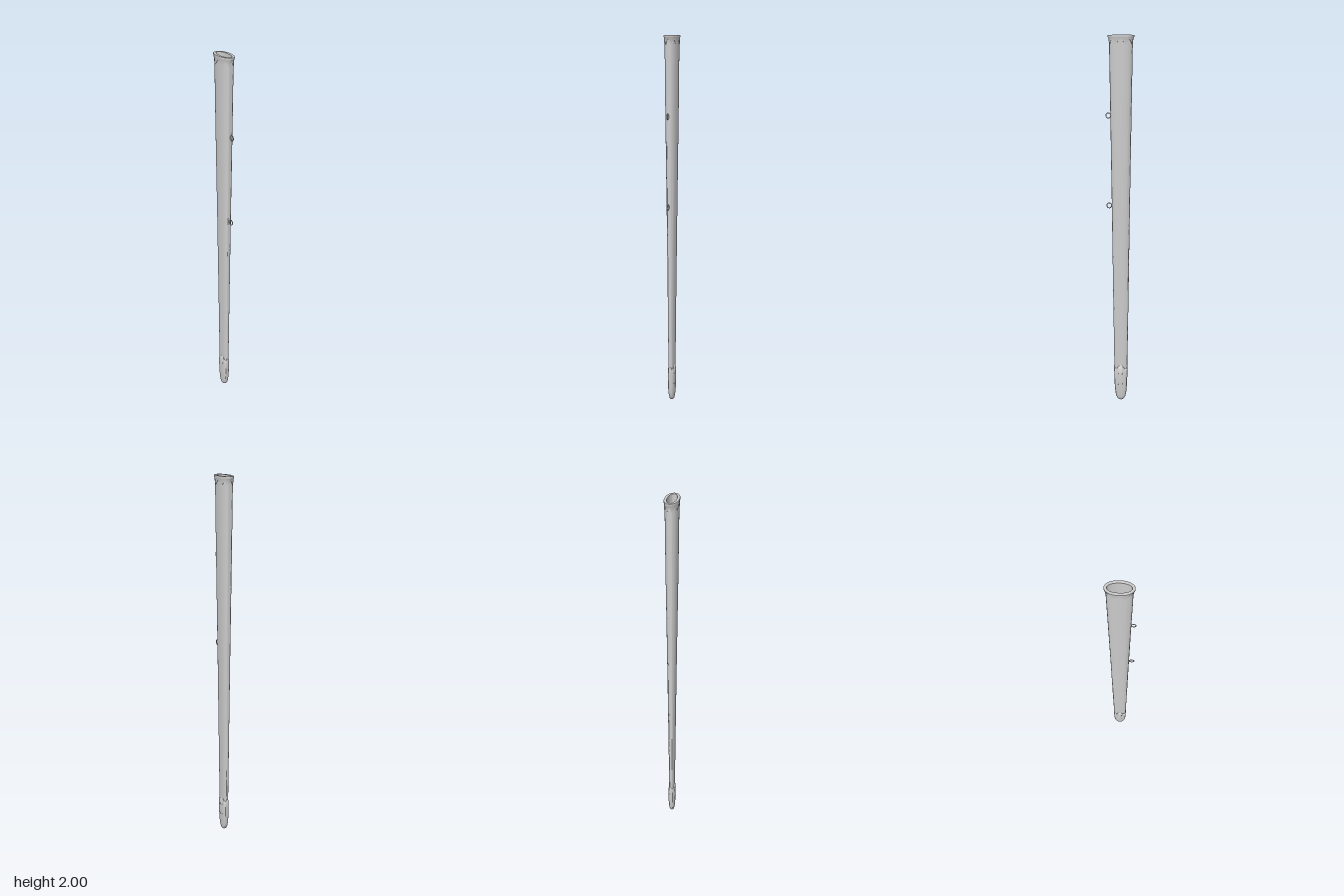
import * as THREE from 'three';
import { toCreasedNormals } from 'three/addons/utils/BufferGeometryUtils.js';

const SIDES = 48;
const CX = -0.006; // the sheath sits slightly off centre, making room for the rings

// Skin through flattened oval sections [y, halfWidth, halfDepth, squareness, wave]
function loft(sections, wave = () => 0) {
  const pos = [], index = [];
  const bend = (v, n) => Math.sign(v) * Math.abs(v) ** (2 / n);
  sections.forEach(([y, hx, hz, n = 2.3, w = 0], i) => {
    for (let j = 0; j < SIDES; j++) {
      const t = (j / SIDES) * Math.PI * 2;
      pos.push(CX + hx * bend(Math.cos(t), n), y + w * wave(t), hz * bend(Math.sin(t), n));
      if (i === 0) continue;
      const k = (j + 1) % SIDES, lo = (i - 1) * SIDES, hi = i * SIDES;
      index.push(lo + j, hi + j, lo + k, lo + k, hi + j, hi + k);
    }
  });
  const geo = new THREE.BufferGeometry();
  geo.setAttribute('position', new THREE.Float32BufferAttribute(pos, 3));
  geo.setIndex(index);
  return toCreasedNormals(geo, 0.7);
}

export function createModel() {
  const group = new THREE.Group();
  const material = new THREE.MeshStandardMaterial({ color: 0xcccccc, side: THREE.DoubleSide });
  const add = (name, geometry) => {
    const mesh = new THREE.Mesh(geometry, material);
    mesh.name = name;
    group.add(mesh);
    return mesh;
  };

  // Long tapering sheath
  add('sheath', loft([
    [0.1, 0.033, 0.013, 2.6],
    [0.2, 0.036, 0.014, 2.6],
    [0.6, 0.042, 0.0175, 2.5],
    [1.1, 0.0485, 0.023, 2.4],
    [1.6, 0.056, 0.0295, 2.3],
    [1.985, 0.062, 0.033, 2.2],
  ]));

  // Hollow inside with its floor
  add('lining', loft([
    [2.0, 0.056, 0.023, 2.1],
    [1.6, 0.052, 0.022, 2.3],
    [1.1, 0.046, 0.019, 2.8],
    [0.6, 0.04, 0.0155, 3.5],
    [0.59, 0.036, 0.012, 3.5],
    [0.59, 0, 0],
  ]));

  // Flared mouth collar with a scalloped lower edge
  add('throat', loft([
    [1.965, 0.0615, 0.0325, 2.2, 0.012],
    [1.965, 0.0635, 0.0345, 2.2, 0.012],
    [1.986, 0.0655, 0.0355, 2.2],
    [1.99, 0.069, 0.037, 2.1],
    [1.997, 0.07, 0.0375, 2.1],
    [2.0, 0.069, 0.0365, 2.1],
    [2.0, 0.056, 0.023, 2.1],
  ], t => Math.cos(8 * t)));

  // Rounded end cap with a wavy upper edge
  add('chape', loft([
    [0.004, 0, 0],
    [0.004, 0.01, 0.008, 2.4],
    [0.01, 0.018, 0.0125, 2.4],
    [0.025, 0.026, 0.0145, 2.5],
    [0.05, 0.031, 0.0165, 2.6],
    [0.09, 0.034, 0.0185, 2.7],
    [0.15, 0.0365, 0.019, 2.7],
    [0.192, 0.0375, 0.0165, 2.6, 0.01],
    [0.196, 0.0355, 0.0135, 2.6, 0.01],
  ], t => Math.cos(4 * t)));

  // Small studs on both faces of the end cap
  for (const side of [1, -1]) {
    for (const [x, y] of [[-0.011, 0.16], [0.011, 0.16], [-0.011, 0.1], [0.011, 0.1]]) {
      const stud = add('stud', new THREE.SphereGeometry(0.003, 10, 6));
      stud.scale.set(1, 1.6, 0.5);
      stud.position.set(CX + x, y, side * 0.0185);
    }
  }

  // Carrying rings on the left edge
  for (const [x, y] of [[0.0605, 1.586], [0.0565, 1.106]]) {
    const ring = add('carryingRing', new THREE.TorusGeometry(0.0125, 0.0022, 10, 28));
    ring.position.set(x, y, 0);
    ring.scale.y = 1.1;
    const lug = add('ringLug', new THREE.SphereGeometry(0.005, 12, 8));
    lug.scale.set(0.9, 2, 0.7);
    lug.position.set(x - 0.0125, y, 0);
  }
  return group;
}
